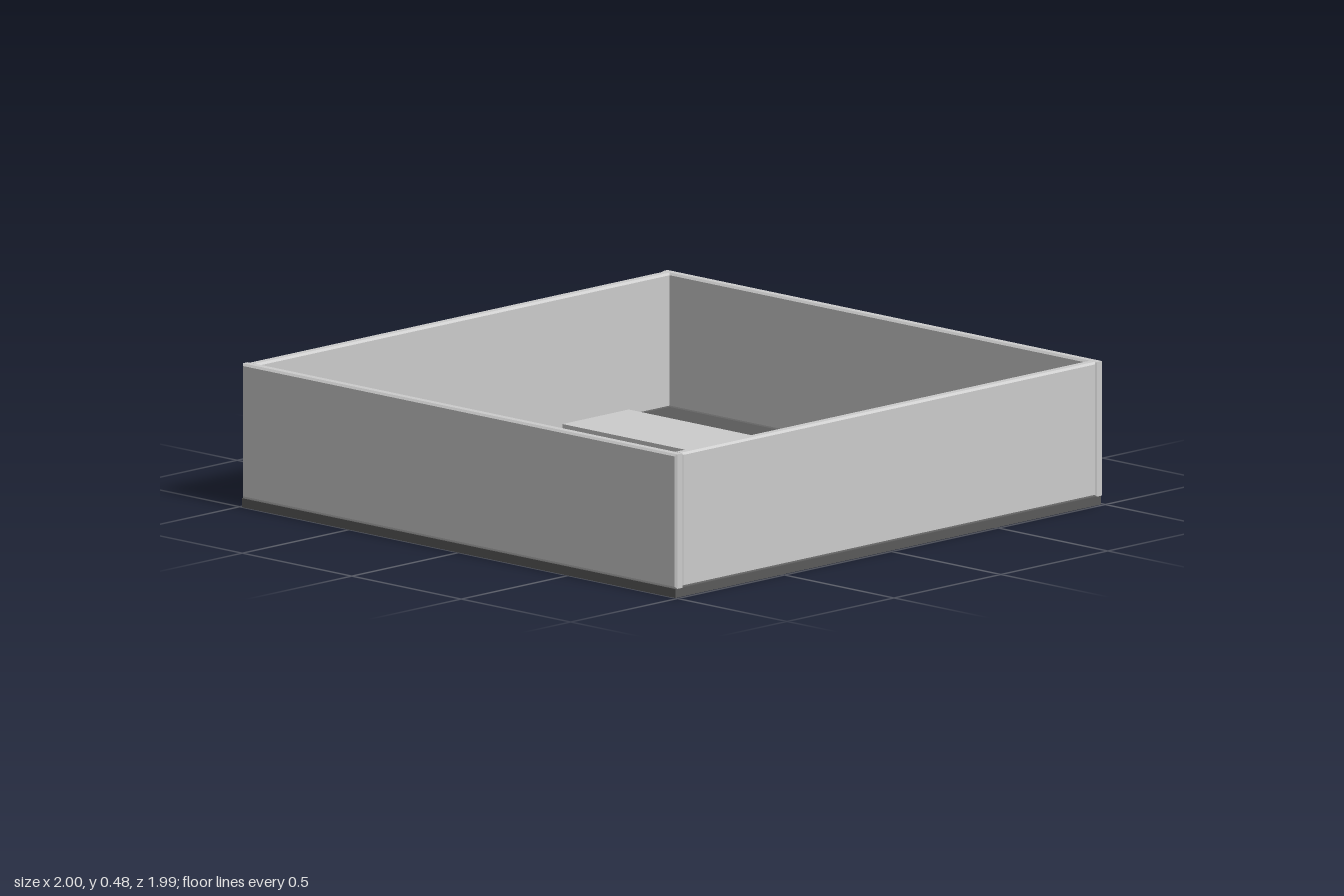
import * as THREE from 'three';

const grey = new THREE.MeshStandardMaterial({ color: 0xcccccc, flatShading: true });
const dark = new THREE.MeshStandardMaterial({ color: 0x5a5a5a, flatShading: true });

// Box given by its low and high corners
function box(name, [x0, y0, z0], [x1, y1, z1], material = grey) {
  const mesh = new THREE.Mesh(new THREE.BoxGeometry(x1 - x0, y1 - y0, z1 - z0), material);
  mesh.position.set((x0 + x1) / 2, (y0 + y1) / 2, (z0 + z1) / 2);
  mesh.name = name;
  return mesh;
}

// Upright panel with chamfered rims, centred on its own origin, thickness along z
function panel(name, length, height, thickness, bevel = 0.007) {
  const w = length / 2 - bevel, h = height / 2 - bevel;
  const outline = new THREE.Shape([[-w, -h], [w, -h], [w, h], [-w, h]].map(p => new THREE.Vector2(...p)));
  const geometry = new THREE.ExtrudeGeometry(outline, {
    depth: thickness - 2 * bevel, bevelEnabled: true,
    bevelThickness: bevel, bevelSize: bevel, bevelSegments: 1,
  });
  geometry.center();
  const mesh = new THREE.Mesh(geometry, grey);
  mesh.name = name;
  return mesh;
}

export function createModel() {
  const model = new THREE.Group();
  model.name = 'walledRoom';

  // Floor slab
  const floorTop = 0.03, wallTop = 0.48, t = 0.037;
  model.add(box('floor', [-1, 0, -0.99], [0.99, floorTop, 0.99], dark));

  // Four walls: side walls run full depth, front and back fit between them
  const height = wallTop - floorTop, midY = (wallTop + floorTop) / 2;
  for (const s of [-1, 1]) {
    const side = panel(s > 0 ? 'leftWall' : 'rightWall', 1.985, height, t);
    side.rotation.y = Math.PI / 2;
    side.position.set(s * (1 - t / 2), midY, 0);
    const end = panel(s > 0 ? 'frontWall' : 'backWall', 2 - 2 * t + 0.012, height, t);
    end.position.set(0, midY, s * (0.99 - t / 2));
    model.add(side, end);
  }

  // Table in the middle of the room
  const table = new THREE.Group();
  table.name = 'table';
  table.position.set(-0.005, 0, -0.003);
  table.add(box('tableTop', [-0.155, 0.205, -0.343], [0.155, 0.245, 0.343]));
  for (const x of [-0.113, 0.113]) {
    for (const z of [-0.277, 0.277]) {
      const leg = new THREE.Mesh(new THREE.CylinderGeometry(0.01, 0.01, 0.18, 12), grey);
      leg.position.set(x, 0.12, z);
      leg.name = 'tableLeg';
      table.add(leg);
    }
  }
  model.add(table);
  return model;
}
